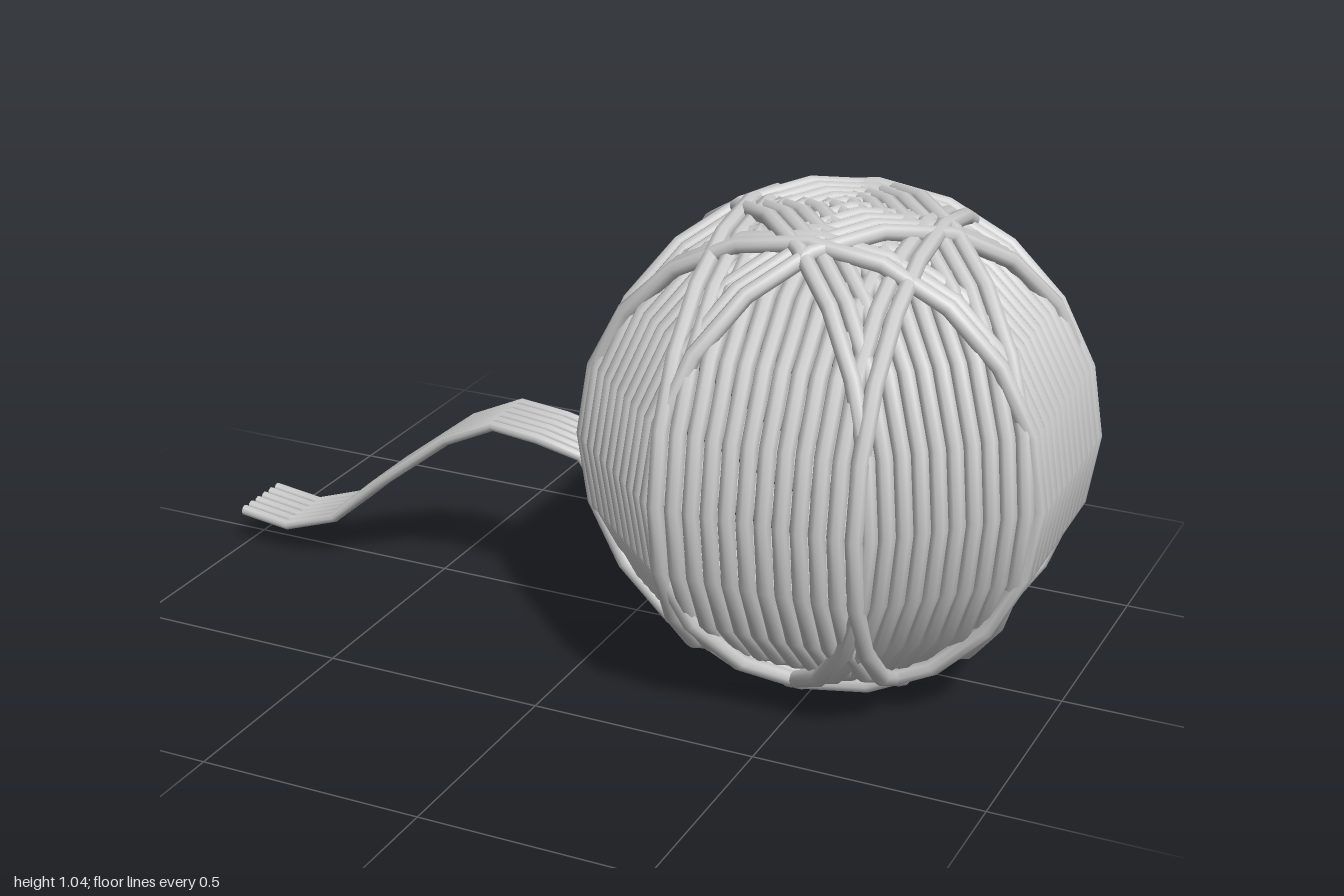
import * as THREE from 'three';

const SIDES = 20;          // straight pieces in one turn of yarn
const STRAND = 0.0185;     // yarn radius on the ball

const yarn = new THREE.MeshStandardMaterial({ color: 0xcccccc });
const openYarn = new THREE.MeshStandardMaterial({ color: 0xcccccc, side: THREE.DoubleSide });

// A band of parallel loops, turned about the vertical axis
function band(name, angle, outer, count, halfWidth, squash) {
  const group = new THREE.Group();
  group.name = name;
  const loop = new THREE.TorusGeometry(outer - STRAND, STRAND, 8, SIDES);
  for (let i = 0; i < count; i++) {
    const strand = new THREE.Mesh(loop, yarn);
    strand.name = 'yarnLoop';
    strand.position.z = THREE.MathUtils.lerp(-halfWidth, halfWidth, i / (count - 1));
    group.add(strand);
  }
  group.scale.y = squash;
  group.rotation.y = angle;
  return group;
}

// Loose end: strands side by side following one wavy path
function looseEnd() {
  const group = new THREE.Group();
  group.name = 'looseEnd';
  const path = [
    [-1, 0.085], [-0.88, 0.07], [-0.75, 0.115], [-0.63, 0.222], [-0.44, 0.37],
    [-0.315, 0.43], [-0.2, 0.421], [-0.09, 0.4], [0.04, 0.22], [0.16, 0.13],
  ];
  const radius = 0.0125;
  for (let i = 0; i < 6; i++) {
    const points = path.map(([x, y]) => {
      const drift = 0.022 * THREE.MathUtils.smoothstep(x, -0.7, 0.1);
      return new THREE.Vector3(x, y, -0.066 + i * 0.0285 + drift);
    });
    const curve = new THREE.CatmullRomCurve3(points);
    // put one ring of the tube exactly on each path point
    curve.getPointAt = (t, target) => curve.getPoint(t, target);
    curve.getTangentAt = (t, target) => curve.getTangent(t, target);
    const strand = new THREE.Mesh(
      new THREE.TubeGeometry(curve, points.length - 1, radius, 8), openYarn);
    strand.name = 'looseStrand';
    const cap = new THREE.Mesh(new THREE.CircleGeometry(radius, 8), openYarn);
    cap.name = 'strandEnd';
    cap.position.copy(points[0]);
    cap.rotation.y = -Math.PI / 2;
    group.add(strand, cap);
  }
  return group;
}

export function createModel() {
  const model = new THREE.Group();
  model.name = 'yarnBall';

  // Ball: two inner bands crossed by two outer diagonal bands
  const ball = new THREE.Group();
  ball.name = 'ball';
  ball.position.set(0.476, 0.5225, 0);
  ball.rotation.y = 0.03;
  for (let i = 0; i < 2; i++) {
    const turn = i * Math.PI / 2;
    ball.add(band('innerBand', turn, 0.517, 12, 0.21, 0.985));
    ball.add(band('outerBand', turn + Math.PI / 4, 0.5225, 10, 0.172, 1));
  }

  model.add(ball, looseEnd());
  return model;
}
